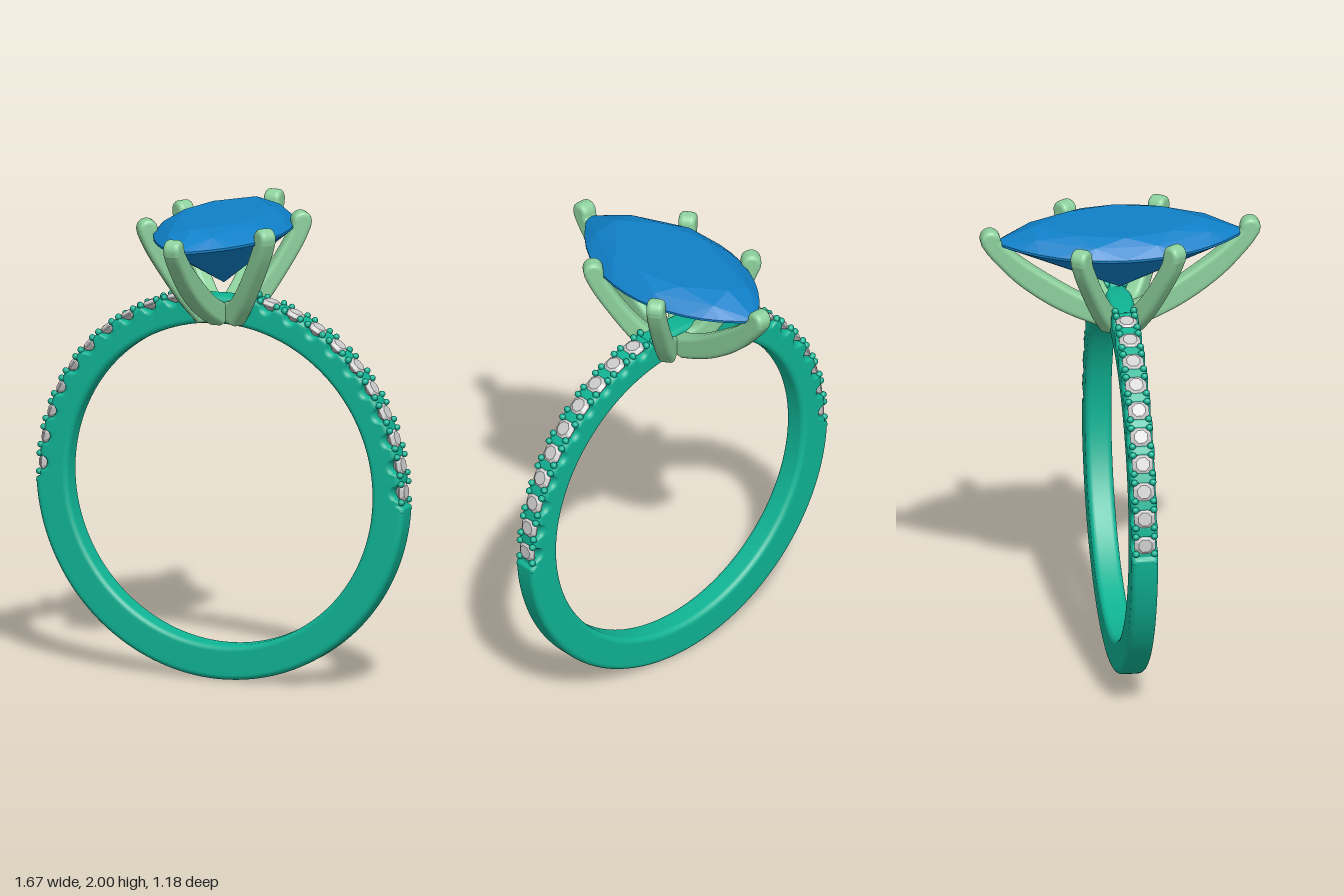
import * as THREE from 'three';
import { mergeGeometries } from 'three/addons/utils/BufferGeometryUtils.js';
import { ConvexGeometry } from 'three/addons/geometries/ConvexGeometry.js';

const CY = 0.84, INNER = 0.69, OUTER = 0.837, HALF = 0.056;
const PITCH = THREE.MathUtils.degToRad(8.07);
const FIRST = THREE.MathUtils.degToRad(15.4);
const STONES = 10;
const LAST_EDGE = FIRST + (STONES - 0.5) * PITCH;

const material = (color, flatShading = false) =>
  new THREE.MeshStandardMaterial({ color, flatShading });

// Outer radius of the band; t is the angle from the top of the ring.
function outerRadius(t) {
  const a = Math.abs(t);
  if (a > LAST_EDGE) return OUTER;
  if (a < FIRST - PITCH * 0.6) return 0.81;
  const i = THREE.MathUtils.clamp(Math.round((a - FIRST) / PITCH), 0, STONES - 1);
  const s = (a - FIRST - i * PITCH) * 0.82;
  const cut = 0.034;
  return 0.822 - (Math.abs(s) < cut ? Math.sqrt(cut * cut - s * s) : 0);
}

// Rounded-rectangle section swept round the finger, scalloped under each stone.
function bandGeometry() {
  const SEG = 720, ARC = 5, R = 0.024;
  const pos = [], idx = [], M = 4 * (ARC + 1);
  for (let i = 0; i < SEG; i++) {
    const t = -Math.PI + (i / SEG) * Math.PI * 2;
    const out = outerRadius(t);
    for (let c = 0; c < 4; c++) {
      const cr = c === 0 || c === 3 ? out - R : INNER + R;
      const cz = c < 2 ? HALF - R : R - HALF;
      for (let k = 0; k <= ARC; k++) {
        const a = (c + k / ARC) * Math.PI / 2;
        const r = cr + R * Math.cos(a);
        pos.push(Math.sin(t) * r, CY + Math.cos(t) * r, cz + R * Math.sin(a));
      }
    }
    const n = ((i + 1) % SEG) * M;
    for (let j = 0; j < M; j++) {
      const a = i * M + j, b = i * M + (j + 1) % M, c = n + j, d = n + (j + 1) % M;
      idx.push(a, b, c, b, d, c);
    }
  }
  const g = new THREE.BufferGeometry();
  g.setAttribute('position', new THREE.Float32BufferAttribute(pos, 3));
  g.setIndex(idx);
  g.computeVertexNormals();
  return g;
}

// Moves a geometry out to the band at angle t, its y axis pointing outwards.
const onBand = (g, t, r, z = 0) =>
  g.translate(0, r, z).rotateZ(-t).translate(0, CY, 0);

function paveStones() {
  const profile = [[0, -0.035], [0.048, 0], [0.048, 0.005], [0.03, 0.018], [0, 0.018]]
    .map(([x, y]) => new THREE.Vector2(x, y));
  const list = [];
  for (const side of [-1, 1])
    for (let i = 0; i < STONES; i++) {
      const g = new THREE.LatheGeometry(profile, 8).rotateY(Math.PI / 8);
      list.push(onBand(g, side * (FIRST + i * PITCH), 0.811));
    }
  return mergeGeometries(list);
}

// Four small beads in every gap, holding the neighbouring stones.
function paveBeads() {
  const list = [];
  for (const side of [-1, 1])
    for (let i = 0; i <= STONES; i++) {
      const mid = FIRST + (i - 0.5) * PITCH;
      for (const z of [-0.039, 0.039])
        for (const d of [-0.023, 0.023]) {
          const g = new THREE.SphereGeometry(0.014, 10, 8).scale(1, 1.1, 1.1);
          list.push(onBand(g, side * (mid + d), 0.822, z));
        }
    }
  return mergeGeometries(list);
}

// Point-ended outline: two arcs, scaled by s, u running once round.
function marquise(u, s, y) {
  const L = 0.53, W = 0.268, R = (L * L + W * W) / (2 * W);
  const half = Math.asin(L / R);
  const side = u < 0.5 ? 1 : -1;
  const a = -half + ((u * 2) % 1) * 2 * half;
  return new THREE.Vector3(side * (R * Math.cos(a) - R + W) * s, y, side * R * Math.sin(a) * s);
}

function centreStone() {
  const pts = [new THREE.Vector3(0, 1.7, 0)];
  const ring = (n, s, y, shift = 0) => {
    for (let i = 0; i < n; i++) pts.push(marquise(((i + shift) / n) % 1, s, y));
  };
  ring(32, 1, 1.922);
  ring(32, 1, 1.932);
  ring(8, 0.87, 1.972, 0.5);
  ring(8, 0.67, 1.998);
  ring(8, 0.5, 1.822, 0.5);
  return new ConvexGeometry(pts);
}

// Curved claw drawn in the (reach, height) plane, given rounded edges.
function prongGeometry(outer, inner, tip) {
  const B = 0.02;
  const s = new THREE.Shape();
  const v = (list) => list.map(([x, y]) => new THREE.Vector2(x, y));
  s.moveTo(0, 1.56);
  s.lineTo(...outer[0]);
  s.splineThru(v(outer.slice(1)));
  s.absarc(tip[0], tip[1], 0.022, -0.3, Math.PI + 0.1, false);
  s.splineThru(v(inner));
  s.lineTo(0, 1.6);
  const g = new THREE.ExtrudeGeometry(s, {
    depth: 0.034, bevelEnabled: true, bevelSize: B, bevelThickness: B,
    bevelSegments: 4, curveSegments: 10, steps: 1,
  });
  return g.translate(0, 0, -0.017);
}

export function createModel() {
  const root = new THREE.Group();
  const add = (name, geometry, mat, parent = root) => {
    const m = new THREE.Mesh(geometry, mat);
    m.name = name;
    parent.add(m);
    return m;
  };
  const metal = material(0x0fb394), claw = material(0x8bcf9b);

  add('band', bandGeometry(), metal);
  add('bandBeads', paveBeads(), metal);
  add('bandStones', paveStones(), material(0xcccccc, true));
  add('centreStone', centreStone(), material(0x0f80c8, true));

  // Two long claws at the points of the stone, four short ones along its sides
  const setting = new THREE.Group();
  setting.name = 'setting';
  root.add(setting);
  const long = prongGeometry(
    [[0.09, 1.555], [0.2, 1.605], [0.31, 1.67], [0.43, 1.765], [0.53, 1.875], [0.568, 1.93]],
    [[0.51, 1.915], [0.4, 1.815], [0.2, 1.675], [0.07, 1.61]], [0.55, 1.949]);
  const short = prongGeometry(
    [[0.11, 1.555], [0.18, 1.64], [0.26, 1.76], [0.32, 1.86], [0.352, 1.93]],
    [[0.295, 1.89], [0.21, 1.75], [0.12, 1.64], [0.06, 1.61]], [0.333, 1.949]);
  const lean = Math.atan2(0.2, 0.27);
  for (const a of [Math.PI / 2, -Math.PI / 2]) add('endProng', long, claw, setting).rotation.y = a;
  for (const a of [lean, -lean, Math.PI - lean, Math.PI + lean])
    add('sideProng', short, claw, setting).rotation.y = a;
  return root;
}
